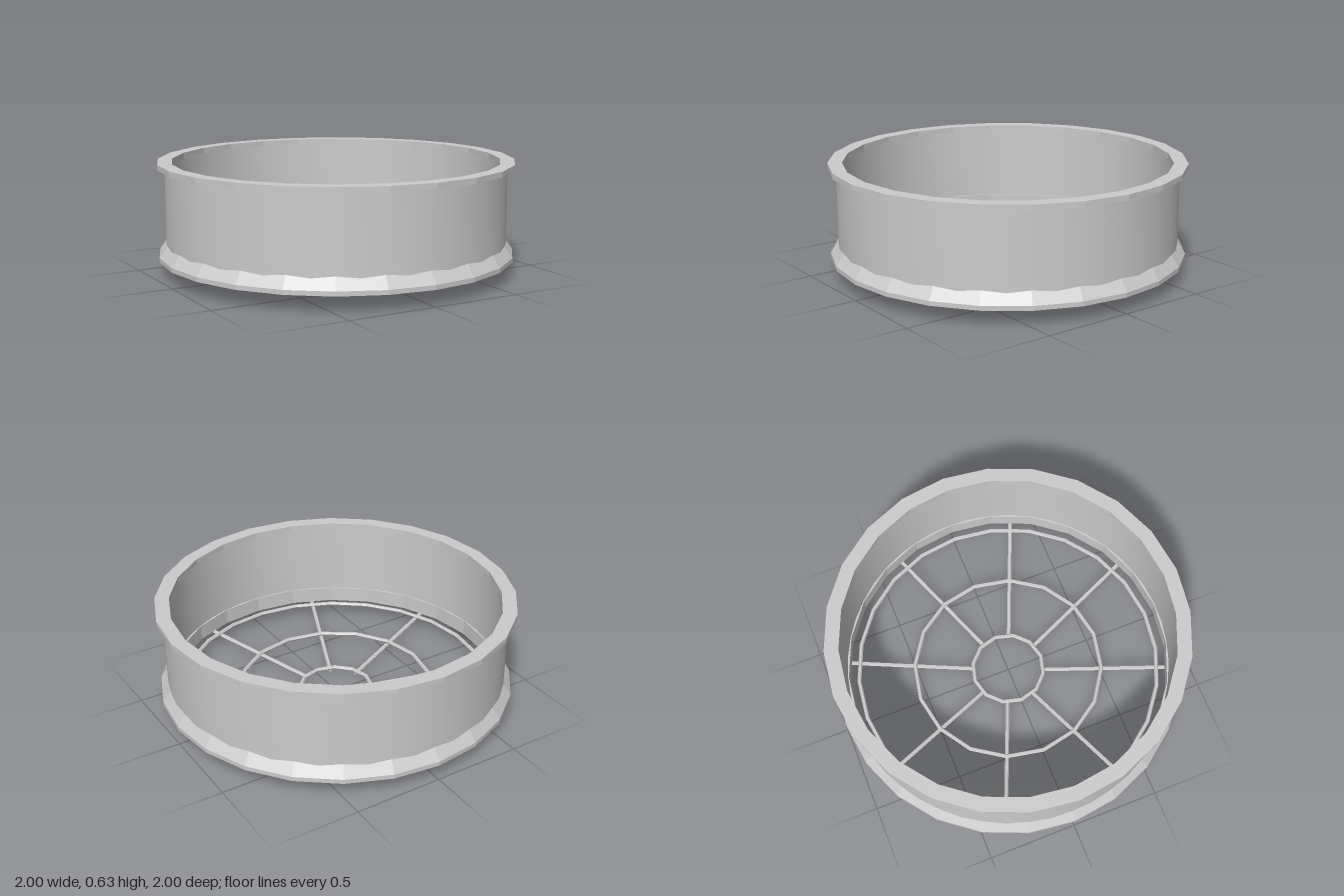
import * as THREE from 'three';
import { toCreasedNormals } from 'three/addons/utils/BufferGeometryUtils.js';

const smooth = new THREE.MeshStandardMaterial({ color: 0xcccccc });
const flat = new THREE.MeshStandardMaterial({ color: 0xcccccc, flatShading: true });

// Closed ring turned from a counter-clockwise list of [radius, height] corners
function turned(corners, sides) {
  const points = [...corners, corners[0]].map(([r, y]) => new THREE.Vector2(r, y));
  return new THREE.LatheGeometry(points, sides);
}

export function createModel() {
  const model = new THREE.Group();
  const add = (name, geometry, material) => {
    const mesh = new THREE.Mesh(geometry, material);
    mesh.name = name;
    model.add(mesh);
    return mesh;
  };

  // Smooth cylindrical wall
  const wall = turned([[0.925, 0.1], [0.955, 0.1], [0.955, 0.62], [0.925, 0.62]], 48);
  add('wall', toCreasedNormals(wall, 0.6), smooth);

  // Faceted rims: a plain band on top, a flared foot below
  add('topRim', turned([[0.92, 0.6], [1, 0.6], [1, 0.63], [0.92, 0.63]], 24), flat);
  add('flaredFoot', turned([[0.92, 0.09], [1, 0.09], [1, 0.115], [0.955, 0.18], [0.92, 0.18]], 24), flat);

  // Concentric wire hoops of the shallow guard: radius, height, sides
  [[0.208, 0.027, 12], [0.545, 0.064, 16], [0.87, 0.092, 24]].forEach(([r, y, sides], i) => {
    const hoop = add('guardHoop' + (i + 1), new THREE.TorusGeometry(r, 0.012, 6, sides), flat);
    hoop.rotation.x = -Math.PI / 2;
    hoop.position.y = y;
  });

  // Eight spokes rising outward beneath the hoops
  const inner = new THREE.Vector3(0.2, 0.012, 0);
  const outer = new THREE.Vector3(0.925, 0.084, 0);
  const direction = outer.clone().sub(inner);
  const spoke = new THREE.CylinderGeometry(0.012, 0.012, direction.length(), 6);
  spoke.applyQuaternion(new THREE.Quaternion().setFromUnitVectors(
    new THREE.Vector3(0, 1, 0), direction.normalize()));
  const middle = inner.add(outer).multiplyScalar(0.5);
  spoke.translate(middle.x, middle.y, middle.z);
  for (let i = 0; i < 8; i++) {
    add('guardSpoke' + (i + 1), spoke, flat).rotation.y = (i + 0.5) * Math.PI / 4;
  }

  return model;
}
